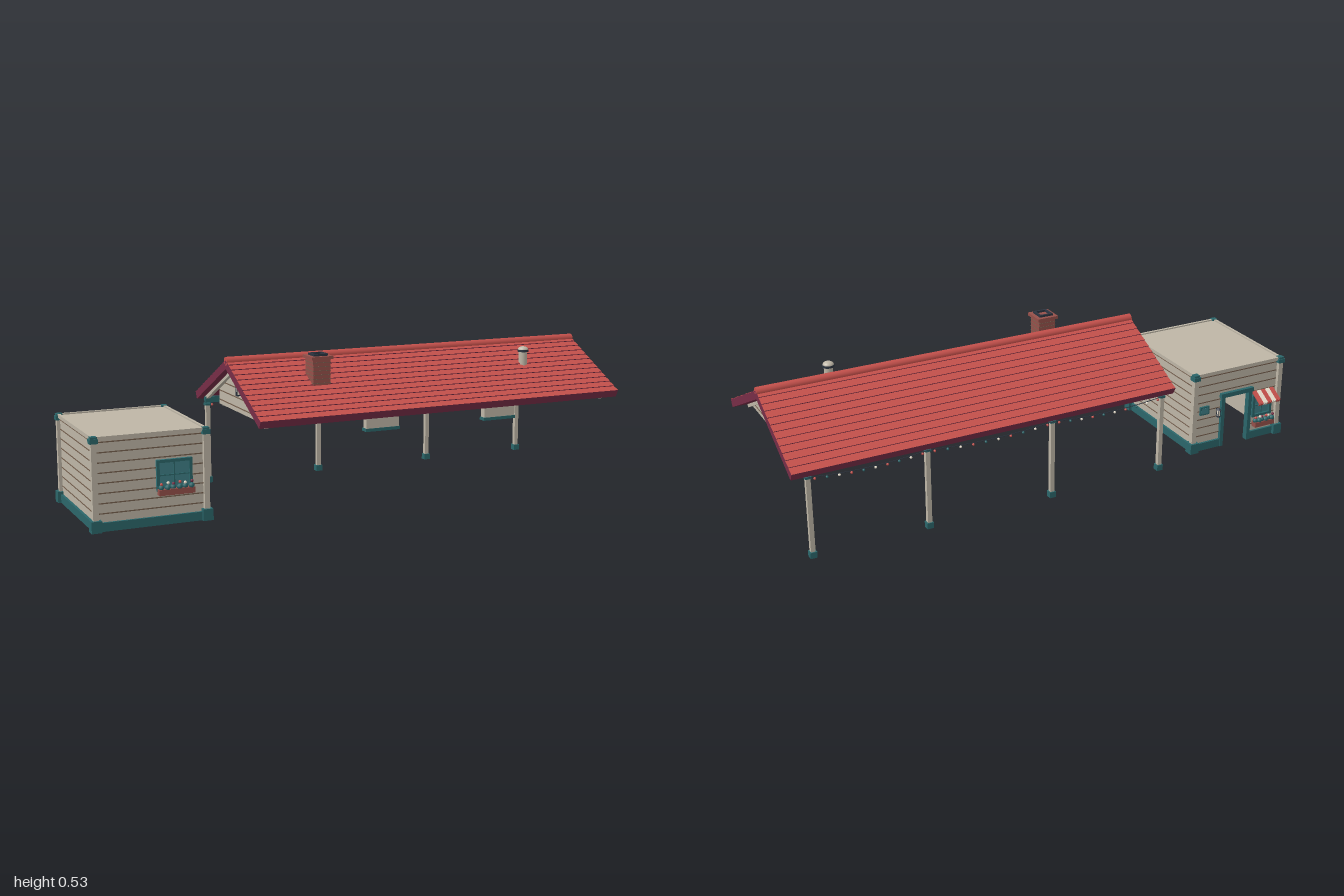
import * as THREE from 'three';

const mat = (name, color) => Object.assign(new THREE.MeshStandardMaterial({ color }), { name });

export function createModel() {
  const root = new THREE.Group();
  root.name = 'stationShelter';
  const red = mat('roofRed', 0xc4504b), maroon = mat('maroon', 0x762d46), beige = mat('beige', 0xbeb6a6);
  const teal = mat('teal', 0x2b666a), dark = mat('darkMetal', 0x2c3440), groove = mat('boardGap', 0x75604f);
  const brick = mat('brick', 0x96504a), cream = mat('cream', 0xe6ddcc), glass = mat('glass', 0x3f7f86);

  const group = (name, parent = root) => {
    const g = new THREE.Group();
    g.name = name;
    parent.add(g);
    return g;
  };
  const add = (name, parent, geo, m, x = 0, y = 0, z = 0) => {
    const mesh = new THREE.Mesh(geo, m);
    mesh.name = name;
    mesh.position.set(x, y, z);
    parent.add(mesh);
    return mesh;
  };
  // Box given by its limits on each axis
  const span = (name, parent, m, x0, x1, y0, y1, z0, z1) =>
    add(name, parent, new THREE.BoxGeometry(x1 - x0, y1 - y0, z1 - z0), m, (x0 + x1) / 2, (y0 + y1) / 2, (z0 + z1) / 2);

  // Wall lantern; dir is the outward direction of its wall
  const lantern = (x, y, z, dx, dz) => {
    const g = group('lantern');
    g.position.set(x, y, z);
    add('lanternBase', g, new THREE.BoxGeometry(0.013, 0.004, 0.013), dark, 0, -0.014, 0);
    add('lanternGlass', g, new THREE.BoxGeometry(0.009, 0.024, 0.009), cream);
    for (const a of [-1, 1]) for (const b of [-1, 1])
      add('lanternBar', g, new THREE.BoxGeometry(0.002, 0.026, 0.002), dark, a * 0.005, 0, b * 0.005);
    add('lanternCap', g, new THREE.ConeGeometry(0.011, 0.011, 4).rotateY(Math.PI / 4), dark, 0, 0.017, 0);
    add('lanternBracket', g, new THREE.BoxGeometry(dx ? 0.016 : 0.003, 0.003, dz ? 0.016 : 0.003), dark, -dx * 0.008, 0.013, -dz * 0.008);
  };

  // Window with planter; side is +1 on the front wall, -1 on the back wall
  const windowUnit = (cx, y0, y1, w, side, boxY) => {
    const g = group('window');
    g.position.set(cx, 0, side * 0.218);
    if (side < 0) g.rotation.y = Math.PI;
    const h = w / 2, t = 0.01, mid = (y0 + y1) / 2;
    span('windowPane', g, glass, -h, h, y0, y1, 0, 0.004);
    for (const s of [-1, 1]) {
      add('windowSideFrame', g, new THREE.BoxGeometry(t, y1 - y0, 0.012), teal, s * (h - t / 2), mid, 0.006);
      add('windowRail', g, new THREE.BoxGeometry(w, t, 0.013), teal, 0, s > 0 ? y1 - t / 2 : y0 + t / 2, 0.006);
    }
    span('mullion', g, teal, -0.002, 0.002, y0, y1, 0, 0.008);
    span('glazingBar', g, teal, -h, h, mid - 0.002, mid + 0.002, 0, 0.008);
    span('planter', g, brick, -h, h, boxY, boxY + 0.02, 0.012, 0.036);
    const n = 6, blooms = [red, cream, maroon];
    for (let i = 0; i < n; i++) {
      const x = -h + w * (i + 0.5) / n;
      add('foliage', g, new THREE.IcosahedronGeometry(0.01, 1), teal, x, boxY + 0.025, 0.024 + (i % 2) * 0.005);
      add('flower', g, new THREE.IcosahedronGeometry(0.0055, 1), blooms[i % 3], x, boxY + 0.036 + (i % 2) * 0.006, 0.025 + (i % 2) * 0.008);
    }
    return g;
  };

  // Hollow cabin with a doorway in its back wall
  const cabin = group('cabin');
  const X0 = -0.98, X1 = -0.6, Z = 0.218, T = 0.01, D0 = -0.845, D1 = -0.73, DT = 0.205;
  span('frontWall', cabin, beige, X0, X1, 0, 0.312, Z - T, Z);
  span('leftWall', cabin, beige, X1 - T, X1, 0, 0.312, -Z, Z);
  span('rightWall', cabin, beige, X0, X0 + T, 0, 0.312, -Z, Z);
  span('backWallA', cabin, beige, X0, D0, 0, 0.312, -Z, -Z + T);
  span('backWallB', cabin, beige, D1, X1, 0, 0.312, -Z, -Z + T);
  span('backWallOverDoor', cabin, beige, D0, D1, DT, 0.312, -Z, -Z + T);
  span('cabinRoof', cabin, beige, X0 - 0.006, X1 + 0.006, 0.303, 0.313, -Z - 0.006, Z + 0.006);
  for (const s of [-1, 1]) {
    span('roofRim', cabin, beige, X0 - 0.009, X1 + 0.009, 0.306, 0.318, s * 0.222 - 0.005, s * 0.222 + 0.005);
    const x = s > 0 ? X1 + 0.003 : X0 - 0.003;
    span('roofRim', cabin, beige, x - 0.005, x + 0.005, 0.306, 0.318, -0.222, 0.222);
  }
  // Board gaps
  for (let i = 0; i < 8; i++) {
    const y = 0.059 + i * 0.0341, a = y - 0.002, b = y + 0.002, e = 0.001;
    span('boardGap', cabin, groove, X0, X1, a, b, Z, Z + e);
    span('boardGap', cabin, groove, X1, X1 + e, a, b, -Z, Z);
    span('boardGap', cabin, groove, X0 - e, X0, a, b, -Z, Z);
    if (y < DT) {
      span('boardGap', cabin, groove, X0, D0, a, b, -Z - e, -Z);
      span('boardGap', cabin, groove, D1, X1, a, b, -Z - e, -Z);
    } else span('boardGap', cabin, groove, X0, X1, a, b, -Z - e, -Z);
  }
  // Skirting
  const k = 0.009;
  span('frontSkirting', cabin, teal, X0, X1, 0, 0.03, Z, Z + k);
  span('leftSkirting', cabin, teal, X1, X1 + k, 0, 0.03, -Z, Z);
  span('rightSkirting', cabin, teal, X0 - k, X0, 0, 0.03, -Z, Z);
  span('backSkirting', cabin, teal, X0, D0, 0, 0.03, -Z - k, -Z);
  span('backSkirting', cabin, teal, D1, X1, 0, 0.03, -Z - k, -Z);
  // Corner posts with blocks and caps
  for (const x of [-0.982, -0.598]) for (const z of [-0.222, 0.222]) {
    add('cornerPost', cabin, new THREE.BoxGeometry(0.019, 0.3, 0.019), beige, x, 0.15, z);
    add('cornerBlock', cabin, new THREE.BoxGeometry(0.036, 0.04, 0.036), teal, x, 0.02, z);
    add('cornerCap', cabin, new THREE.BoxGeometry(0.028, 0.015, 0.028), teal, x, 0.304, z);
    add('cornerCapTop', cabin, new THREE.BoxGeometry(0.022, 0.008, 0.022), teal, x, 0.315, z);
  }
  // Door frame and notice board
  span('doorJamb', cabin, teal, D0 - 0.012, D0 + 0.003, 0, DT + 0.003, -Z - 0.012, -Z + T);
  span('doorJamb', cabin, teal, D1 - 0.003, D1 + 0.012, 0, DT + 0.003, -Z - 0.012, -Z + T);
  span('doorHead', cabin, teal, D0 - 0.016, D1 + 0.016, DT - 0.003, DT + 0.014, -Z - 0.014, -Z + T);
  span('noticeBoard', cabin, teal, -0.665, -0.625, 0.147, 0.18, -Z - 0.008, -Z);
  span('noticePanel', cabin, glass, -0.66, -0.63, 0.152, 0.175, -Z - 0.009, -Z - 0.008);
  lantern(-0.695, 0.152, -0.243, 0, -1);

  // Windows, the back one with a striped awning
  windowUnit(-0.71, 0.115, 0.222, 0.124, 1, 0.106);
  const backWindow = windowUnit(-0.908, 0.09, 0.18, 0.088, -1, 0.056);
  const awning = group('awning', backWindow);
  awning.position.set(0, 0.197, 0.006);
  awning.rotation.x = 0.55;
  for (let i = 0; i < 5; i++) {
    const x = (i - 2) * 0.0196, m = i % 2 ? cream : red;
    add('awningStripe', awning, new THREE.BoxGeometry(0.0196, 0.004, 0.06), m, x, 0, 0.03);
    add('awningValance', awning, new THREE.BoxGeometry(0.0196, 0.01, 0.003), m, x, -0.005, 0.06);
  }

  // Pitched roof: maroon slabs under overlapping red rows
  const R0 = -0.44, R1 = 1, RC = 0.28, L = 1.44, pitch = 0.468, slope = 0.361, rows = 12;
  const roof = group('roof');
  for (const s of [-1, 1]) {
    const g = group(s > 0 ? 'frontSlope' : 'backSlope', roof);
    g.position.set(RC, 0.5, 0);
    g.rotation.x = s * pitch;
    add('roofSlab', g, new THREE.BoxGeometry(L, 0.026, slope), maroon, 0, -0.013, s * slope / 2);
    for (let i = 0; i < rows; i++) {
      const d = slope / rows;
      const row = add('roofRow', g, new THREE.BoxGeometry(L, 0.004, d + 0.001),
        [maroon, maroon, red, maroon, maroon, maroon], 0, 0.0005, s * (i + 0.5) * d);
      row.rotation.x = -s * 0.1;
    }
    // Rake trim beneath the slab at both ends
    for (const x of [-0.408, 0.942])
      add('rakeTrim', g, new THREE.BoxGeometry(0.014, 0.012, slope - 0.012), beige, x - RC, -0.032, s * (slope - 0.012) / 2);
  }
  add('ridgeCap', roof, new THREE.CylinderGeometry(0.016, 0.016, L, 12).rotateZ(Math.PI / 2), red, RC, 0.498, 0);

  // Boarded gable ends
  const gable = new THREE.Shape([[0.3, 0.317], [0, 0.468], [-0.17, 0.383], [-0.17, 0.317]].map(p => new THREE.Vector2(...p)));
  for (const [x, out] of [[0.936, 1], [-0.39, -1]]) {
    const m = add('gableWall', root, new THREE.ExtrudeGeometry(gable, { depth: 0.012, bevelEnabled: false }), beige, x, 0, 0);
    m.rotation.y = -Math.PI / 2;
    const face = out > 0 ? x : x - 0.012;
    for (let i = 0; i < 4; i++) {
      const y = 0.334 + i * 0.0341, h = (0.464 - y) / 0.506;
      span('gableBoardGap', root, groove, face - 0.001, face + 0.001, y - 0.002, y + 0.002, -Math.min(h, 0.168), h);
    }
    lantern(face + out * 0.014, 0.398, 0.054, out, 0);
  }

  // Hanging header boards along both sides
  for (const x of [0.037, 0.512]) for (const z of [0.265, -0.16]) {
    add('headerPanel', root, new THREE.BoxGeometry(0.126, 0.048, 0.026), beige, x, 0.295, z);
    add('headerSill', root, new THREE.BoxGeometry(0.132, 0.011, 0.03), teal, x, 0.267, z);
  }

  // Platform posts and beam
  const posts = [-0.41, 0.04, 0.515, 0.935], PZ = -0.28;
  for (const x of posts) {
    const g = group('platformPost');
    g.position.set(x, 0, PZ);
    add('postShaft', g, new THREE.BoxGeometry(0.016, 0.3, 0.016), beige, 0, 0.15, 0);
    add('postFoot', g, new THREE.BoxGeometry(0.024, 0.022, 0.024), teal, 0, 0.011, 0);
    add('postCollar', g, new THREE.BoxGeometry(0.022, 0.008, 0.022), teal, 0, 0.297, 0);
  }
  span('eaveBeam', root, teal, -0.42, 0.945, 0.303, 0.325, PZ - 0.006, PZ + 0.006);

  // Sagging string of lights between the posts
  for (let b = 0; b < 3; b++) {
    const at = t => new THREE.Vector3(THREE.MathUtils.lerp(posts[b], posts[b + 1], t), 0.3 - 0.05 * t * (1 - t), -0.291);
    const curve = new THREE.CatmullRomCurve3([0, 0.25, 0.5, 0.75, 1].map(at));
    add('lightWire', root, new THREE.TubeGeometry(curve, 16, 0.0013, 5), dark);
    for (let i = 0; i < 10; i++) {
      const p = at((i + 0.5) / 10);
      add('bulb', root, new THREE.SphereGeometry(0.0048, 8, 6), [red, cream, teal][i % 3], p.x, p.y - 0.006, p.z);
    }
  }

  // Brick chimney with mortar lines, ledge and open dark top
  const CX = -0.145, CZ = 0.133;
  const chimney = group('chimney');
  chimney.position.set(CX, 0, CZ);
  add('chimneyStack', chimney, new THREE.BoxGeometry(0.066, 0.12, 0.066), brick, 0, 0.45, 0);
  for (let i = 0; i < 6; i++)
    add('mortarLine', chimney, new THREE.BoxGeometry(0.068, 0.002, 0.068), groove, 0, 0.425 + i * 0.0145, 0);
  add('chimneyLedge', chimney, new THREE.BoxGeometry(0.082, 0.011, 0.082), brick, 0, 0.514, 0);
  for (const s of [-1, 1]) {
    add('flueRim', chimney, new THREE.BoxGeometry(0.054, 0.008, 0.008), dark, 0, 0.523, s * 0.023);
    add('flueRim', chimney, new THREE.BoxGeometry(0.008, 0.008, 0.054), dark, s * 0.023, 0.523, 0);
  }

  // Vent pipe with domed cap
  const vent = group('ventPipe');
  vent.position.set(0.7, 0, 0.13);
  add('pipe', vent, new THREE.CylinderGeometry(0.016, 0.016, 0.08, 16), beige, 0, 0.442, 0);
  add('pipeCollar', vent, new THREE.CylinderGeometry(0.021, 0.021, 0.008, 16), dark, 0, 0.483, 0);
  const dome = add('pipeDome', vent, new THREE.SphereGeometry(0.02, 16, 6, 0, Math.PI * 2, 0, Math.PI / 2), beige, 0, 0.486, 0);
  dome.scale.y = 0.65;

  return root;
}
